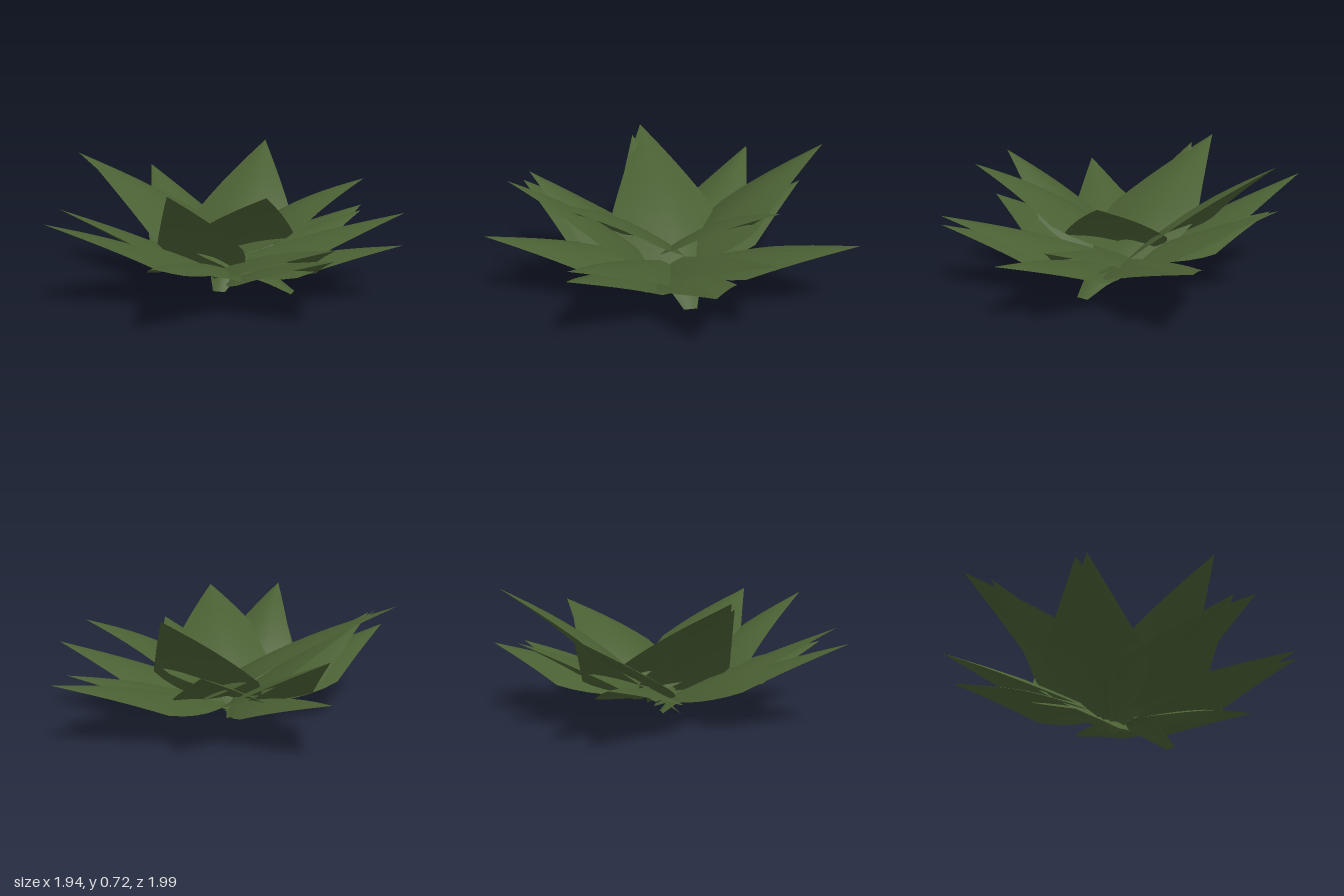
import * as THREE from 'three';

// Each leaf: tip x, y, z, then half width, base height, and how far the base runs past the centre
const TIERS = [
  {
    name: 'upperLeaf', droop: 0.08, arch: 0.07,
    leaves: [
      [-0.52, 0.72, -0.68, 0.28, 0.0, 0.11],
      [-0.71, 0.70, 0.51, 0.29, 0.0, 0.38],
      [0.76, 0.63, 0.32, 0.27, 0.12, 0.1],
      [0.35, 0.58, -0.68, 0.26, 0.13, 0.1],
      [0.53, 0.64, 0.68, 0.22, 0.02, 0.0],
    ],
  },
  {
    name: 'middleLeaf', droop: 0.08, arch: 0.02,
    leaves: [
      [-0.97, 0.56, -0.11, 0.23, 0.08, 0.04],
      [-0.57, 0.66, 0.50, 0.24, 0.05, 0.12],
      [-0.05, 0.52, 0.92, 0.23, 0.06, 0.03],
      [-0.62, 0.47, -0.54, 0.24, 0.1, 0.07],
      [0.60, 0.42, -0.74, 0.23, 0.12, 0.06],
      [0.97, 0.41, 0.10, 0.24, 0.12, 0.0],
    ],
  },
  {
    name: 'outerLeaf', droop: 0.07, arch: 0.03,
    leaves: [
      [-0.09, 0.45, 0.99, 0.25, 0.07, -0.05],
      [0.02, 0.35, -1.0, 0.25, 0.1, 0.0],
      [0.15, 0.35, -0.87, 0.2, 0.1, 0.0],
      [0.79, 0.31, -0.52, 0.23, 0.08, 0.0],
      [0.97, 0.36, 0.11, 0.23, 0.06, -0.08],
      [0.59, 0.35, 0.80, 0.24, 0.1, 0.0],
      [-0.86, 0.32, 0.0, 0.22, 0.1, 0.0],
    ],
  },
];

const ROWS = 12;
const COLUMNS = 6;
const WIDEST = 0.5;

// Rounded from the base to the widest point, then straight to the tip
function widthAt(t) {
  return t < WIDEST ? Math.max(0.12, Math.sin((t / WIDEST) * Math.PI / 2)) : (1 - t) / (1 - WIDEST);
}

// A pointed leaf with a raised midrib and drooping edges
function leafGeometry([x, y, z, halfWidth, baseHeight, overrun], droop, arch) {
  const tip = new THREE.Vector3(x, y, z);
  const outward = new THREE.Vector3(x, 0, z).normalize();
  const side = new THREE.Vector3(outward.z, 0, -outward.x);
  const base = outward.clone().multiplyScalar(-overrun).setY(baseHeight);
  const positions = [];
  const index = [];
  for (let row = 0; row <= ROWS; row++) {
    const t = row / ROWS;
    const w = widthAt(t);
    const rib = base.clone().lerp(tip, t);
    rib.y += arch * Math.sin(Math.PI * t);
    for (let c = 0; c <= COLUMNS; c++) {
      const u = (c / COLUMNS) * 2 - 1;
      const p = rib.clone().addScaledVector(side, u * w * halfWidth);
      p.y = Math.max(0, p.y - droop * w * Math.abs(u) ** 1.5);
      positions.push(p.x, p.y, p.z);
      if (row > 0 && c > 0) {
        const i = row * (COLUMNS + 1) + c;
        const j = i - COLUMNS - 1;
        index.push(j - 1, i - 1, j, j, i - 1, i);
      }
    }
  }
  const geometry = new THREE.BufferGeometry();
  geometry.setAttribute('position', new THREE.Float32BufferAttribute(positions, 3));
  geometry.setIndex(index);
  geometry.computeVertexNormals();
  return geometry;
}

export function createModel() {
  const group = new THREE.Group();
  group.name = 'leafRosette';
  const leafGreen = new THREE.MeshStandardMaterial({ color: 0x4a5f33, side: THREE.DoubleSide });
  leafGreen.name = 'leafGreen';
  for (const { name, droop, arch, leaves } of TIERS) {
    leaves.forEach((shape, i) => {
      const leaf = new THREE.Mesh(leafGeometry(shape, droop, arch), leafGreen);
      leaf.name = `${name}${i + 1}`;
      group.add(leaf);
    });
  }
  return group;
}
